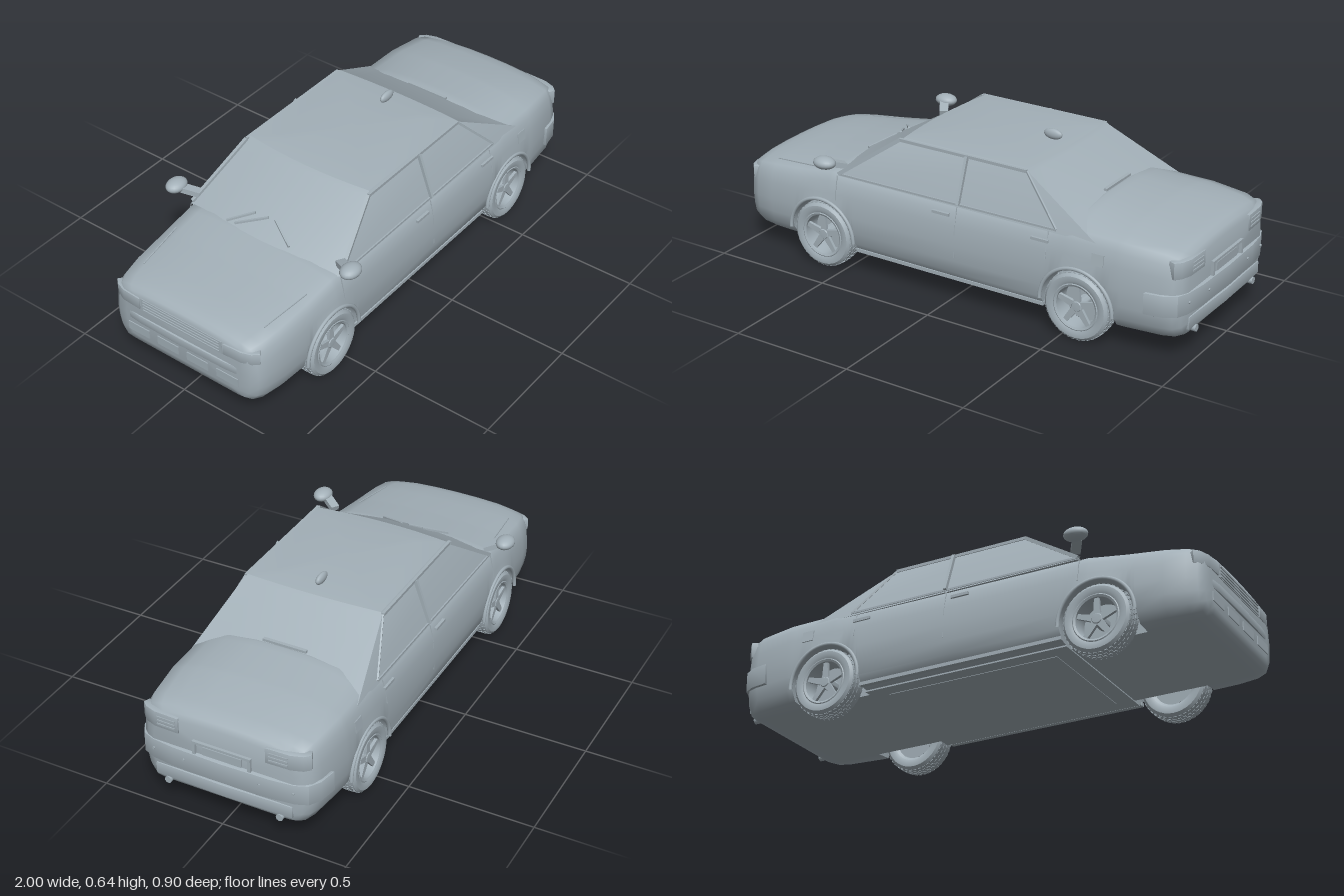
import * as THREE from 'three';
import { toCreasedNormals, mergeGeometries } from 'three/addons/utils/BufferGeometryUtils.js';

const paint = new THREE.MeshStandardMaterial({ color: 0xa3b0b8, side: THREE.DoubleSide });
paint.name = 'blueGrey';

const WHEELS = [-0.59, 0.57], AXLE_Y = 0.138, ARCH_R = 0.152;
const V = (x, y, z) => new THREE.Vector3(x, y, z);

function add(parent, name, geo, x = 0, y = 0, z = 0) {
  const m = new THREE.Mesh(geo, paint);
  m.name = name;
  m.position.set(x, y, z);
  parent.add(m);
  return m;
}
const box = (parent, name, w, h, d, x, y, z) => add(parent, name, new THREE.BoxGeometry(w, h, d), x, y, z);

// straight bar between two points
function bar(parent, name, a, b, w, h = w) {
  const m = box(parent, name, w, h, a.distanceTo(b), 0, 0, 0);
  m.position.copy(a).add(b).multiplyScalar(0.5);
  m.lookAt(b);
  return m;
}

// skin over closed rings of equal point count, capped at both ends
function loft(rings, crease) {
  const n = rings[0].length, pos = [], idx = [];
  rings.forEach(r => r.forEach(p => pos.push(...p)));
  for (let i = 0; i < rings.length - 1; i++) for (let j = 0; j < n; j++) {
    const a = i * n + j, b = i * n + (j + 1) % n;
    idx.push(a, b, a + n, b, b + n, a + n);
  }
  [0, rings.length - 1].forEach(r => {
    const c = pos.length / 3;
    pos.push(...[0, 1, 2].map(k => rings[r].reduce((s, p) => s + p[k], 0) / n));
    for (let j = 0; j < n; j++) {
      const a = r * n + j, b = r * n + (j + 1) % n;
      if (r) idx.push(a, b, c); else idx.push(b, a, c);
    }
  });
  const g = new THREE.BufferGeometry();
  g.setAttribute('position', new THREE.Float32BufferAttribute(pos, 3));
  g.setIndex(idx);
  return toCreasedNormals(g, crease);
}

// body stations: x, half width, bottom, crown, shoulder
const STATIONS = [
  [-0.992, 0.27, 0.14, 0.345, 0.325], [-0.985, 0.31, 0.112, 0.36, 0.338], [-0.968, 0.335, 0.1, 0.368, 0.345],
  [-0.93, 0.352, 0.092, 0.378, 0.354], [-0.85, 0.366, 0.09, 0.388, 0.364], [-0.7, 0.374, 0.09, 0.405, 0.38],
  [-0.55, 0.378, 0.09, 0.425, 0.402], [0, 0.38, 0.09, 0.43, 0.406], [0.45, 0.38, 0.09, 0.45, 0.416],
  [0.54, 0.38, 0.09, 0.487, 0.426], [0.75, 0.378, 0.09, 0.468, 0.424], [0.9, 0.36, 0.09, 0.438, 0.414],
  [0.945, 0.345, 0.092, 0.429, 0.402], [0.967, 0.32, 0.097, 0.417, 0.387], [0.98, 0.29, 0.115, 0.395, 0.365]];

function stationAt(x) {
  let i = 0;
  while (i < STATIONS.length - 2 && x > STATIONS[i + 1][0]) i++;
  const a = STATIONS[i], b = STATIONS[i + 1], t = (x - a[0]) / (b[0] - a[0]);
  return a.map((v, k) => v + (b[k] - v) * t);
}

function bodyRing(x) {
  const [, w, yb, yt, ys] = stationAt(x), d = yt - ys, h = ys - yb;
  let arch = yb;
  for (const c of WHEELS) {
    const dx = Math.abs(x - c);
    if (dx <= ARCH_R + 1e-6) arch = AXLE_Y + Math.sqrt(Math.max(0, ARCH_R ** 2 - dx * dx));
  }
  const crown = [[0, 0], [0.3, 0.06], [0.6, 0.28], [0.77, 0.65]].map(([f, k]) => [f * w, yt - k * d]);
  const side = [[0.9, 1], [0.95, 0.9], [0.98, 0.75], [1, 0.5], [0.99, 0.3], [0.965, 0.14], [0.9, 0.02]]
    .map(([f, k]) => [f * w, Math.max(arch, yb + k * h)]);
  const inner = Math.min(0.27, 0.8 * w);
  const half = [...crown, ...side, [inner, arch], [inner, yb], [0, yb]];
  const mirror = half.slice(1, -1).reverse().map(([z, y]) => [-z, y]);
  return [...half, ...mirror].map(([z, y]) => [x, y, z]);
}

function bodyGeometry() {
  const xs = STATIONS.map(s => s[0]);
  for (const c of WHEELS) {
    xs.push(c - ARCH_R - 0.001, c + ARCH_R + 0.001);
    for (let i = 0; i <= 16; i++) xs.push(c - ARCH_R * Math.cos(i * Math.PI / 16));
  }
  return loft(xs.sort((a, b) => a - b).map(bodyRing), 1.1);
}

// cabin outline with bowed windscreen and rear window
function cabinRing([y, xf, xr, w, bowF, bowR]) {
  const pts = [], N = 8;
  for (let i = 0; i <= N; i++) { const t = 1 - 2 * i / N; pts.push([xf + bowF * t * t, y, t * w]); }
  for (let i = 0; i <= N; i++) { const t = -1 + 2 * i / N; pts.push([xr - bowR * t * t, y, t * w]); }
  return pts;
}

// solid raised from a plan outline of [x, z] points
function planSlab(outline, height) {
  const s = new THREE.Shape(outline.map(([x, z]) => new THREE.Vector2(x, -z)));
  const g = new THREE.ExtrudeGeometry(s, { depth: height - 0.008, bevelThickness: 0.004, bevelSize: 0.003, bevelSegments: 2 });
  return toCreasedNormals(g.rotateX(-Math.PI / 2).translate(0, 0.004, 0), 0.6);
}
const flip = pts => pts.map(([x, z]) => [x, -z]);
const bothSides = half => [...half, ...flip(half.slice(0, -1)).reverse()];

// wheel with its outer face towards +z
function makeWheel() {
  const g = new THREE.Group();
  const lathe = pts => toCreasedNormals(new THREE.LatheGeometry(pts.map(p => new THREE.Vector2(...p)), 40).rotateX(Math.PI / 2), 0.6);
  add(g, 'tyre', lathe([[0.092, -0.04], [0.105, -0.046], [0.122, -0.045], [0.132, -0.036], [0.135, -0.02],
    [0.135, 0.02], [0.132, 0.036], [0.122, 0.045], [0.105, 0.046], [0.092, 0.04]]));
  add(g, 'rim', lathe([[0.095, 0.04], [0.09, 0.043], [0.082, 0.039], [0.079, 0.0], [0.08, -0.03], [0.094, -0.04]]));
  add(g, 'innerDisc', lathe([[0, -0.032], [0.081, -0.032]]));
  add(g, 'hub', lathe([[0.024, -0.032], [0.024, 0.028], [0.018, 0.035], [0, 0.036]]));
  const blocks = [];
  for (let i = 0; i < 40; i++) for (let r = 0; r < 4; r++) {
    const b = new THREE.BoxGeometry(0.012, 0.006, 0.013).translate(0, r % 3 ? 0.134 : 0.132, (r - 1.5) * 0.018);
    blocks.push(b.rotateZ((i + (r % 2) / 2) * Math.PI / 20));
  }
  add(g, 'tread', mergeGeometries(blocks));
  const shape = new THREE.Shape([[-0.014, 0.015], [0.014, 0.015], [0.009, 0.085], [-0.009, 0.085]].map(p => new THREE.Vector2(...p)));
  for (let i = 0; i < 5; i++)
    add(g, 'spoke', new THREE.ExtrudeGeometry(shape, { depth: 0.012, bevelEnabled: false }), 0, 0, 0.02).rotation.z = i * Math.PI * 0.4;
  return g;
}

export function createModel() {
  const car = new THREE.Group();
  car.name = 'saloonCar';

  add(car, 'body', bodyGeometry());
  add(car, 'cabin', loft([
    [0.4, -0.6, 0.69, 0.355, 0.08, 0.05], [0.578, -0.285, 0.328, 0.29, 0.02, 0.01],
    [0.591, -0.27, 0.315, 0.28, 0.02, 0.01], [0.599, -0.2, 0.24, 0.19, 0.02, 0.01]].map(cabinRing), 0.4));
  box(car, 'floorPan', 0.86, 0.006, 0.62, -0.01, 0.088, 0);
  box(car, 'floorPanel', 0.72, 0.004, 0.5, -0.01, 0.085, 0);

  for (const s of [1, -1]) {
    const side = pts => (s > 0 ? pts : flip(pts));
    // wheels and arch lips
    WHEELS.forEach((x, i) => {
      const w = makeWheel();
      w.name = i ? 'rearWheel' : 'frontWheel';
      w.position.set(x, AXLE_Y, s * 0.335);
      if (s < 0) w.rotation.y = Math.PI;
      car.add(w);
      add(car, 'archLip', new THREE.TorusGeometry(0.153, 0.008, 8, 28, Math.PI), x, AXLE_Y, s * 0.377);
    });
    // window frames and pillars
    const aLow = V(-0.515, 0.407, s * 0.353), aTop = V(-0.265, 0.582, s * 0.288);
    const cLow = V(0.47, 0.412, s * 0.351), cTop = V(0.305, 0.582, s * 0.288);
    bar(car, 'frontPillar', aLow, aTop, 0.014);
    bar(car, 'rearPillar', cLow, cTop, 0.008);
    bar(car, 'roofRail', aTop, cTop, 0.012);
    bar(car, 'windowSill', aLow, cLow, 0.008);
    bar(car, 'centrePillar', V(0.045, 0.408, s * 0.352), V(0.045, 0.582, s * 0.289), 0.012, 0.026);
    // door furniture
    for (const x of [-0.025, 0.41]) box(car, 'doorHandle', 0.075, 0.011, 0.014, x, 0.366, s * 0.366);
    for (const [x, lo] of [[0.04, 0.2], [-0.52, 0.3], [0.44, 0.3]]) {
      bar(car, 'doorSeam', V(x, 0.325, s * 0.373), V(x, 0.4, s * 0.356), 0.003);
      bar(car, 'doorSeam', V(x, lo, s * 0.378), V(x, 0.325, s * 0.373), 0.003);
    }
    box(car, 'sillStrip', 0.86, 0.014, 0.02, -0.01, 0.102, s * 0.345);
    box(car, 'fuelFlap', 0.05, 0.045, 0.004, 0.655, 0.347, s * 0.371).rotation.x = -s * 0.16;
    // wing mirror
    add(car, 'wingMirror', new THREE.SphereGeometry(1, 20, 14), -0.535, 0.47, s * 0.412).scale.set(0.048, 0.025, 0.037);
    bar(car, 'mirrorStalk', V(-0.495, 0.443, s * 0.335), V(-0.53, 0.463, s * 0.39), 0.036, 0.022);
    // lamps wrapped round the corners
    add(car, 'tailLamp', planSlab(side([[0.982, 0.18], [0.979, 0.275], [0.965, 0.318], [0.946, 0.338], [0.925, 0.33], [0.94, 0.18]]), 0.066), 0, 0.332, 0);
    for (let i = 0; i < 3; i++)
      bar(car, 'tailLampBar', V(0.985, 0.349 + i * 0.015, s * 0.19), V(0.983, 0.349 + i * 0.015, s * 0.265), 0.006);
    add(car, 'headlamp', planSlab(side([[-0.994, 0.2], [-0.99, 0.275], [-0.977, 0.313], [-0.958, 0.334], [-0.94, 0.32], [-0.955, 0.2]]), 0.05), 0, 0.285, 0);
    add(car, 'exhaust', new THREE.CylinderGeometry(0.014, 0.014, 0.06, 16).rotateZ(Math.PI / 2), 0.96, 0.11, s * 0.23);
    for (const [x, z] of [[0.996, 0.155], [0.985, 0.285]])
      add(car, 'parkingSensor', new THREE.CylinderGeometry(0.005, 0.005, 0.008, 10).rotateZ(Math.PI / 2), x, 0.234, s * z);
    // bonnet seam
    bar(car, 'bonnetSeam', V(-0.87, 0.37, s * 0.285), V(-0.66, 0.392, s * 0.31), 0.004);
  }

  // rear end
  add(car, 'rearBumper', planSlab(bothSides([[0.85, 0.373], [0.92, 0.361], [0.962, 0.335], [0.98, 0.29], [0.991, 0.2], [0.996, 0]]), 0.085), 0, 0.187, 0);
  add(car, 'rearApron', planSlab(bothSides([[0.95, 0.28], [0.981, 0.277], [0.988, 0]]), 0.05), 0, 0.121, 0);
  for (const z of [-0.113, 0.113]) box(car, 'plateFrameSide', 0.014, 0.07, 0.012, 0.985, 0.292, z);
  for (const y of [0.262, 0.323]) box(car, 'plateFrame', 0.014, 0.01, 0.236, 0.985, y, 0);
  box(car, 'rearPlate', 0.008, 0.034, 0.16, 0.982, 0.292, 0);
  box(car, 'highBrakeLamp', 0.014, 0.01, 0.18, 0.522, 0.488, 0);

  // nose
  box(car, 'grilleSurround', 0.008, 0.055, 0.38, -0.991, 0.31, 0);
  for (let i = 0; i < 4; i++) box(car, 'grilleBar', 0.008, 0.006, 0.36, -0.995, 0.29 + i * 0.013, 0);
  add(car, 'frontBumperLip', planSlab(bothSides([[-0.95, 0.337], [-0.972, 0.32], [-0.986, 0.285], [-0.994, 0.2], [-0.997, 0]]), 0.035), 0, 0.215, 0);
  for (const z of [-0.21, -0.07, 0.07, 0.21]) box(car, 'lowerIntake', 0.008, 0.036, 0.1, -0.992, 0.178, z);

  // wipers and roof aerial
  bar(car, 'wiper', V(-0.55, 0.434, -0.155), V(-0.482, 0.468, -0.07), 0.008);
  bar(car, 'wiper', V(-0.545, 0.434, -0.12), V(-0.478, 0.47, -0.01), 0.008);
  bar(car, 'wiper', V(-0.535, 0.438, 0.13), V(-0.476, 0.471, 0.02), 0.008);
  add(car, 'roofAerial', new THREE.SphereGeometry(1, 18, 12), 0.24, 0.619, 0).scale.set(0.04, 0.021, 0.014);
  return car;
}
